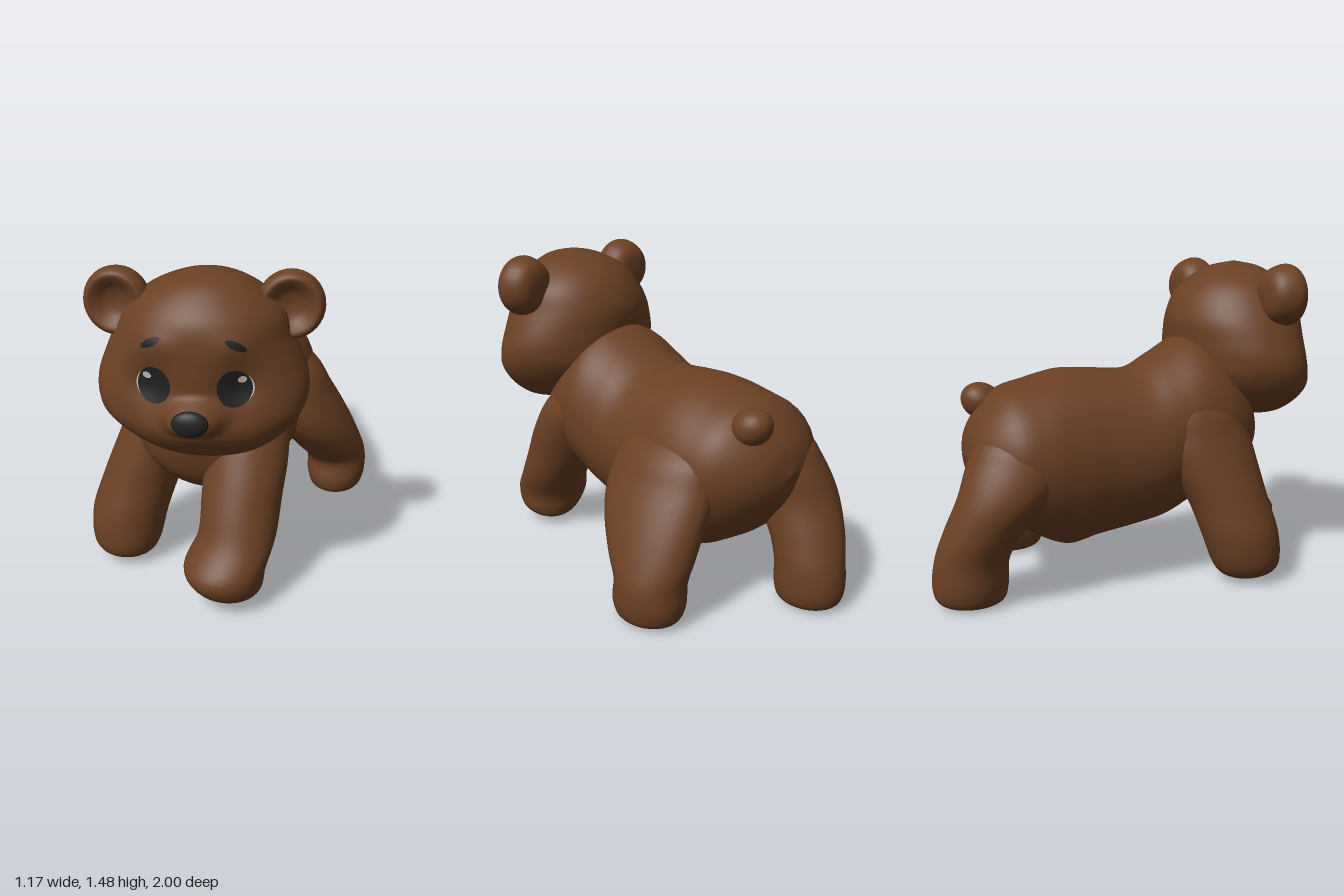
import * as THREE from 'three';

const mat = (name, color) => {
  const m = new THREE.MeshStandardMaterial({ color });
  m.name = name;
  return m;
};

// Smooth skin over elliptical sections [station, x, other, rx, rOther] along y or z
function loft(sections, axis, rings = 48, sides = 40) {
  const centres = new THREE.CatmullRomCurve3(
    sections.map(s => new THREE.Vector3(s[1], s[2], s[0])), false, 'catmullrom', 0.5);
  const radii = new THREE.CatmullRomCurve3(
    sections.map(s => new THREE.Vector3(s[3], s[4], 0)), false, 'catmullrom', 0.5);
  const pos = [], index = [];
  for (let i = 0; i <= rings; i++) {
    const c = centres.getPoint(i / rings), r = radii.getPoint(i / rings);
    for (let j = 0; j < sides; j++) {
      const a = (j / sides) * Math.PI * 2;
      const x = c.x + Math.max(r.x, 0.0005) * Math.cos(a);
      const o = Math.max(r.y, 0.0005) * Math.sin(a);
      if (axis === 'y') pos.push(x, c.z, c.y - o);
      else pos.push(x, c.y + o, c.z);
      if (i < rings) {
        const p = i * sides + j, q = i * sides + (j + 1) % sides;
        index.push(p, q, q + sides, p, q + sides, p + sides);
      }
    }
  }
  const g = new THREE.BufferGeometry();
  g.setAttribute('position', new THREE.Float32BufferAttribute(pos, 3));
  g.setIndex(index);
  g.computeVertexNormals();
  return g;
}

export function createModel() {
  const fur = mat('brownFur', 0x6b4024);
  const dark = mat('darkFeature', 0x222222);
  const white = mat('eyeWhite', 0xd0c8c0);

  const bear = new THREE.Group();
  bear.name = 'bearCub';
  const add = (parent, name, geometry, material) => {
    const m = new THREE.Mesh(geometry, material);
    m.name = name;
    parent.add(m);
    return m;
  };
  const ball = (parent, name, material, p, r) => {
    const m = add(parent, name, new THREE.SphereGeometry(1, 32, 20), material);
    m.position.set(...p);
    m.scale.set(...r);
    return m;
  };

  // Torso from rump to chest
  add(bear, 'body', loft([
    [-0.815, -0.1, 0.66, 0, 0],
    [-0.775, -0.1, 0.66, 0.18, 0.14],
    [-0.65, -0.09, 0.65, 0.325, 0.29],
    [-0.5, -0.075, 0.62, 0.375, 0.365],
    [-0.35, -0.06, 0.6, 0.38, 0.415],
    [-0.2, -0.06, 0.61, 0.365, 0.4],
    [0, -0.06, 0.62, 0.36, 0.38],
    [0.14, -0.05, 0.665, 0.36, 0.4],
    [0.3, -0.035, 0.735, 0.36, 0.4],
    [0.45, -0.035, 0.73, 0.33, 0.33],
    [0.58, -0.03, 0.7, 0.24, 0.19],
    [0.655, -0.02, 0.71, 0, 0]], 'z', 66), fur);

  // Legs in mid-stride, each from sole to shoulder or hip
  const legs = {
    frontLeftLeg: [
      [0.03, 0.17, 0.69, 0, 0], [0.045, 0.165, 0.695, 0.085, 0.095],
      [0.09, 0.145, 0.72, 0.15, 0.155], [0.18, 0.13, 0.72, 0.18, 0.185],
      [0.3, 0.165, 0.64, 0.172, 0.172], [0.45, 0.165, 0.555, 0.178, 0.185],
      [0.6, 0.165, 0.475, 0.185, 0.19], [0.75, 0.15, 0.38, 0.178, 0.2],
      [0.9, 0.1, 0.3, 0.14, 0.16], [0.98, 0.08, 0.28, 0, 0]],
    frontRightLeg: [
      [0.015, -0.41, 0.46, 0, 0], [0.03, -0.41, 0.46, 0.095, 0.1],
      [0.09, -0.42, 0.46, 0.155, 0.16], [0.24, -0.41, 0.43, 0.178, 0.185],
      [0.4, -0.365, 0.385, 0.18, 0.195], [0.55, -0.315, 0.33, 0.18, 0.225],
      [0.7, -0.265, 0.28, 0.175, 0.245], [0.85, -0.215, 0.25, 0.155, 0.2],
      [0.98, -0.15, 0.24, 0, 0]],
    backLeftLeg: [
      [0.005, 0.43, -0.47, 0, 0], [0.018, 0.43, -0.47, 0.115, 0.14],
      [0.09, 0.43, -0.475, 0.15, 0.182], [0.2, 0.425, -0.48, 0.155, 0.178],
      [0.3, 0.385, -0.435, 0.168, 0.23], [0.45, 0.31, -0.37, 0.183, 0.285],
      [0.6, 0.22, -0.335, 0.19, 0.3], [0.75, 0.13, -0.34, 0.177, 0.26],
      [0.92, 0.04, -0.36, 0, 0]],
    backRightLeg: [
      [0.005, -0.23, -0.82, 0, 0], [0.018, -0.23, -0.825, 0.115, 0.135],
      [0.09, -0.23, -0.83, 0.15, 0.17], [0.22, -0.235, -0.82, 0.155, 0.168],
      [0.35, -0.26, -0.765, 0.17, 0.183], [0.5, -0.275, -0.665, 0.19, 0.22],
      [0.65, -0.24, -0.57, 0.2, 0.255], [0.78, -0.205, -0.48, 0.18, 0.25],
      [0.93, -0.17, -0.42, 0, 0]],
  };
  for (const [name, sections] of Object.entries(legs)) {
    add(bear, name, loft(sections, 'y'), fur);
  }

  // Tail
  ball(bear, 'tail', fur, [0.035, 0.872, -0.69], [0.09, 0.083, 0.1]).rotation.x = 0.5;

  // Head, turned slightly to its left
  const head = new THREE.Group();
  head.name = 'head';
  head.position.set(0.01, 0, 0.58);
  head.rotation.y = 0.13;
  bear.add(head);
  const skullShape = loft([
    [0.72, 0.02, 0.1, 0, 0],
    [0.745, 0.02, 0.09, 0.2, 0.14],
    [0.8, 0.01, 0.06, 0.315, 0.22],
    [0.88, 0, 0.02, 0.4, 0.275],
    [0.96, 0, 0, 0.437, 0.3],
    [1.04, 0, 0, 0.44, 0.305],
    [1.12, 0, 0, 0.415, 0.31],
    [1.22, 0, 0, 0.372, 0.31],
    [1.32, 0.01, 0.01, 0.325, 0.28],
    [1.4, 0.01, 0.015, 0.245, 0.215],
    [1.46, 0.02, 0.03, 0.13, 0.12],
    [1.487, 0.02, 0.03, 0, 0]], 'y', 88, 96);

  // Shape the face: cheeks, muzzle, lips, mouth crease, eye sockets and brow ridges
  const spread = (x, y, cy, w, h) => (x / w) ** 2 + ((y - cy) / h) ** 2;
  const bump = (...a) => Math.exp(-spread(...a));
  const plateau = (...a) => Math.exp(-(spread(...a) ** 2));
  const sp = skullShape.attributes.position;
  for (let i = 0; i < sp.count; i++) {
    const x = sp.getX(i), y = sp.getY(i), z = sp.getZ(i), ax = Math.abs(x);
    const face = THREE.MathUtils.smoothstep(z, 0.03, 0.2);
    const cheek = 0.02 + 0.05 * Math.exp(-(((y - 0.9) / 0.12) ** 2));
    sp.setZ(i, z + cheek * (x / 0.44) ** 2 + face * (
      0.085 * plateau(x, y, 0.95, 0.115, 0.068) + 0.04 * bump(x, y, 0.875, 0.17, 0.06)
      - 0.014 * bump(x, y, 0.875, 0.06, 0.013)
      - 0.034 * bump(ax - 0.18, y, 1.065, 0.085, 0.085)
      + 0.014 * bump(ax - 0.16, y, 1.24, 0.09, 0.05)));
  }
  skullShape.computeVertexNormals();
  const skull = add(head, 'skull', skullShape, fur);

  // Nose
  ball(head, 'nose', dark, [0, 0.957, 0.39], [0.074, 0.054, 0.033]);

  // Oval patch laid over the front of the skull
  const ray = new THREE.Raycaster();
  const patch = (name, material, x, y, rx, ry, turn, lift) => {
    const g = new THREE.RingGeometry(0.001, 1, 32, 6);
    g.scale(rx, ry, 1).rotateZ(turn).translate(x, y, 0);
    const p = g.attributes.position;
    for (let i = 0; i < p.count; i++) {
      ray.set(new THREE.Vector3(p.getX(i), p.getY(i), 2), new THREE.Vector3(0, 0, -1));
      const hit = ray.intersectObject(skull)[0];
      p.setZ(i, (hit ? hit.point.z : 0.25) + lift);
    }
    g.computeVertexNormals();
    add(head, name, g, material);
  };

  // Ear cup: rounded back, thick rim, shallow hollow front
  const earProfile = [[0, -0.085], [0.07, -0.078], [0.115, -0.045], [0.138, 0.015], [0.135, 0.055],
    [0.115, 0.08], [0.088, 0.07], [0.05, 0.045], [0, 0.035]];
  const earCurve = new THREE.SplineCurve(earProfile.map(p => new THREE.Vector2(...p)));
  const earPoints = earCurve.getPoints(32).map(p => new THREE.Vector2(Math.max(p.x, 0), p.y));

  for (const [side, s] of [['left', 1], ['right', -1]]) {
    const ear = add(head, side + 'Ear', new THREE.LatheGeometry(earPoints, 36).rotateX(Math.PI / 2), fur);
    ear.position.set(s * 0.352 + 0.004, 1.342, 0.01 - s * 0.018);
    ear.scale.y = 1.04;
    ear.rotation.y = s * 0.08;
    patch(side + 'EyeWhite', white, s * 0.168, 1.066, 0.069, 0.068, 0, 0.003);
    patch(side + 'Eye', dark, s * 0.161, 1.067, 0.069, 0.078, s * 0.1, 0.006);
    patch(side + 'EyeGlint', white, s * 0.19, 1.104, 0.018, 0.015, s * 0.4, 0.009);
    patch(side + 'Brow', dark, s * 0.168, 1.25, 0.046, 0.015, s * -0.5, 0.006);
  }

  return bear;
}
